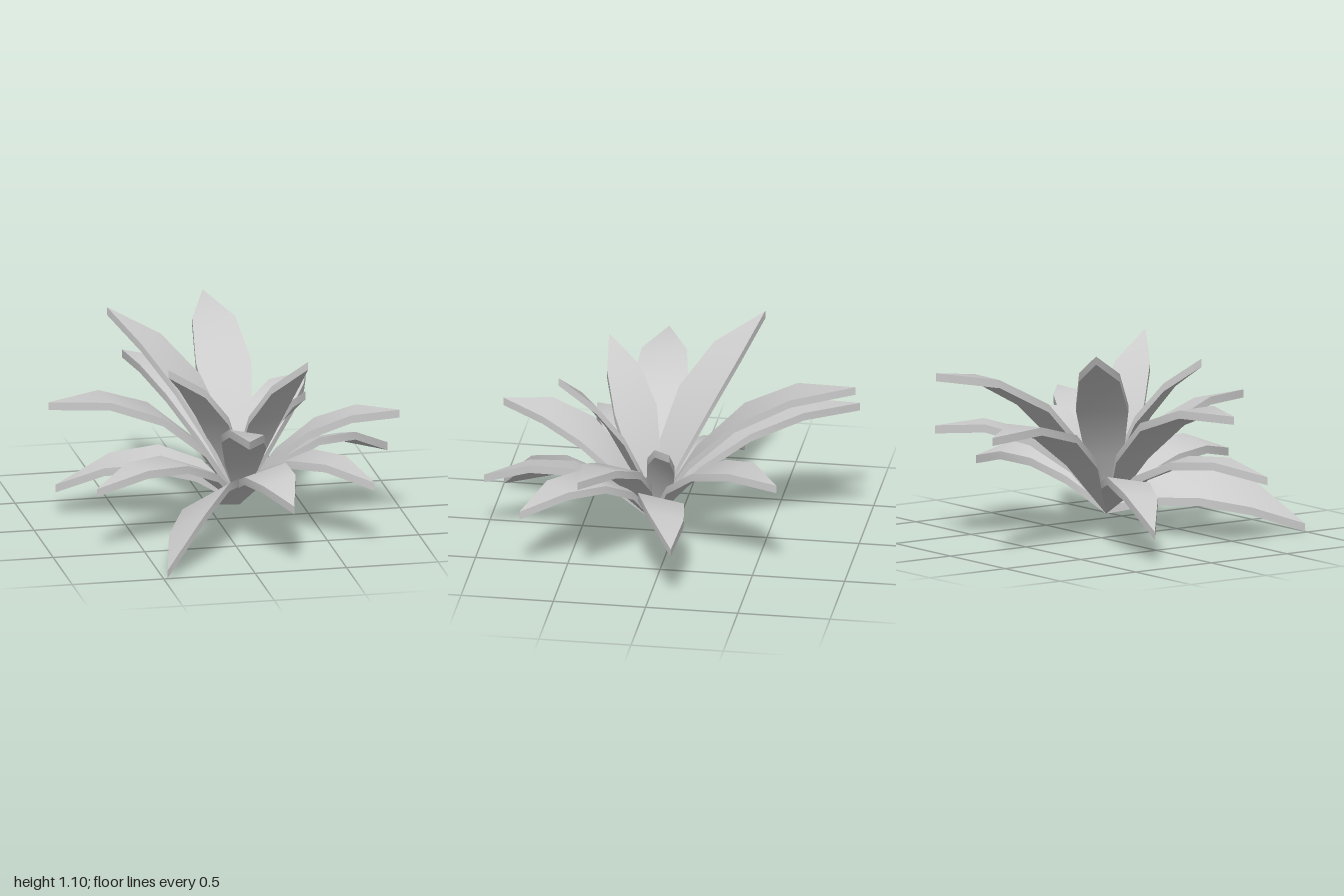
import * as THREE from 'three';

const BASE = new THREE.Vector3(0.1, 0.13, 0.105);
const THICK = 0.044;
const ROWS = [[0, 0], [0.25, 0.73], [0.5, 1], [0.75, 0.78], [1, 0]]; // [t, relative width]

// tip x, y, z | arch height | arch reach (fraction) | half width | roll in degrees
const LEAVES = [
  [-0.32, 0.66, -0.955, 0.80, 0.39, 0.135, 0],
  [0.13, 0.955, -1.00, 0.95, 0.36, 0.15, 0],
  [0.62, 0.57, -0.65, 0.70, 0.40, 0.13, 0],
  [0.96, 0.31, -0.13, 0.58, 0.44, 0.13, -17],
  [0.495, 0.65, -0.05, 0.55, 0.42, 0.10, -45],
  [0.92, 0.65, 0.38, 0.71, 0.40, 0.13, 0],
  [0.71, 0.36, 0.73, 0.62, 0.40, 0.125, 0],
  [0.38, 1.01, 0.57, 0.74, 0.29, 0.13, 0],
  [0.215, 0.34, 1.00, 0.575, 0.44, 0.12, 14],
  [-0.015, 0.695, 0.93, 0.73, 0.37, 0.122, -10],
  [-0.48, 0.024, 1.00, 0.475, 0.43, 0.16, 33],
  [-0.77, 0.36, 0.54, 0.59, 0.41, 0.12, 0],
  [-0.35, 0.96, 0.41, 0.75, 0.27, 0.125, 0],
  [-0.96, 0.75, 0.18, 0.87, 0.38, 0.155, 0],
  [-0.83, 0.15, -0.25, 0.55, 0.42, 0.12, -10],
  [-0.515, 1.075, -0.41, 0.865, 0.28, 0.14, 0],
];

// Arched, pointed blade of even thickness; each of its four long faces is smooth by itself
function bladeGeometry([x, y, z, archY, reach, halfWidth, roll]) {
  const tip = new THREE.Vector3(x, y, z);
  const control = BASE.clone().lerp(tip, reach).setY(archY);
  const curve = new THREE.QuadraticBezierCurve3(BASE, control, tip);

  // Across the blade: level sideways direction, tilted by the roll
  const angle = THREE.MathUtils.degToRad(roll);
  const side = new THREE.Vector3(z - BASE.z, 0, BASE.x - x).normalize()
    .multiplyScalar(Math.cos(angle)).setY(Math.sin(angle));

  // Corners round the cross-section, ordered so that every face points outward
  const corners = [[-1, 1], [1, 1], [1, -1], [-1, -1]];
  const rows = ROWS.map(([t, w]) => corners.map(([s, u]) => {
    const p = curve.getPoint(t).addScaledVector(side, s * w * halfWidth);
    p.y += u * THICK / 2;
    return p;
  }));

  const positions = [], index = [];
  for (let f = 0; f < 4; f++) {
    const start = positions.length / 3;
    rows.forEach((row, i) => {
      positions.push(...row[f].toArray(), ...row[(f + 1) % 4].toArray());
      if (i === 0) return;
      const a = start + (i - 1) * 2, b = a + 1, c = a + 2, d = a + 3;
      const wide = f % 2 === 0; // top and bottom meet in a point at both ends
      if (wide && i === 1) index.push(a, c, d);
      else if (wide && i === ROWS.length - 1) index.push(a, c, b);
      else index.push(a, c, b, b, c, d);
    });
  }
  const geometry = new THREE.BufferGeometry();
  geometry.setAttribute('position', new THREE.Float32BufferAttribute(positions, 3));
  geometry.setIndex(index);
  geometry.computeVertexNormals();
  return geometry;
}

export function createModel() {
  const plant = new THREE.Group();
  plant.name = 'plant';
  const material = new THREE.MeshStandardMaterial({ color: 0xcccccc });
  LEAVES.forEach((leaf, i) => {
    const mesh = new THREE.Mesh(bladeGeometry(leaf), material);
    mesh.name = `leaf${i + 1}`;
    plant.add(mesh);
  });
  return plant;
}
